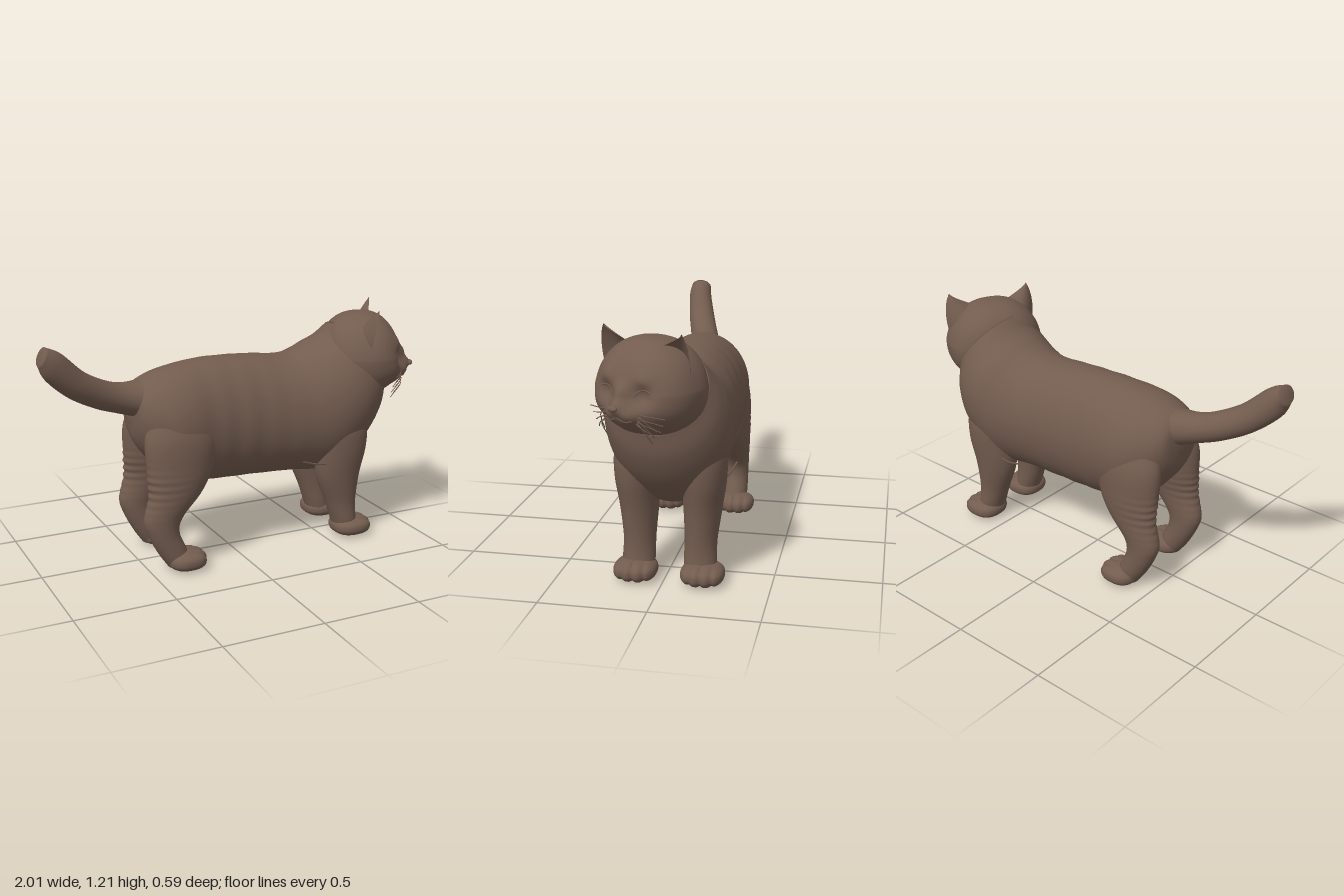
import * as THREE from 'three';

const fur = new THREE.MeshStandardMaterial({ color: 0x735c4f, side: THREE.DoubleSide });
fur.name = 'brown fur';

function add(parent, name, geometry) {
  const mesh = new THREE.Mesh(geometry, fur);
  mesh.name = name;
  parent.add(mesh);
  return mesh;
}

// Smooth closed loft through sections [x, y, z, halfHeight, halfWidth, tilt]
function loft(sections, rings, sides, ripple = () => 1) {
  const V = (a, b, c) => new THREE.Vector3(a, b, c);
  const path = new THREE.CatmullRomCurve3(sections.map(s => V(s[0], s[1], s[2])), false, 'catmullrom', 0.5);
  const size = new THREE.CatmullRomCurve3(sections.map(s => V(s[3], s[4], s[5])), false, 'catmullrom', 0.5);
  const pos = [], idx = [];
  for (let i = 0; i <= rings; i++) {
    const c = path.getPoint(i / rings), r = size.getPoint(i / rings);
    for (let j = 0; j < sides; j++) {
      const t = (j / sides) * Math.PI * 2, k = ripple(c, t);
      const up = Math.sin(t) * r.x * k, side = Math.cos(t) * r.y * k;
      pos.push(c.x - Math.sin(r.z) * up, c.y + Math.cos(r.z) * up, c.z + side);
      if (i < rings) {
        const a = i * sides + j, b = i * sides + (j + 1) % sides;
        idx.push(a, a + sides, b, b, a + sides, b + sides);
      }
    }
  }
  const first = pos.length / 3, p0 = path.getPoint(0), p1 = path.getPoint(1);
  pos.push(p0.x, p0.y, p0.z, p1.x, p1.y, p1.z);
  for (let j = 0; j < sides; j++) {
    const n = (j + 1) % sides, e = rings * sides;
    idx.push(first, j, n, first + 1, e + n, e + j);
  }
  const g = new THREE.BufferGeometry();
  g.setAttribute('position', new THREE.Float32BufferAttribute(pos, 3));
  g.setIndex(idx);
  g.computeVertexNormals();
  return g;
}

// Sphere whose vertices are placed by a rule on their direction
function shapedSphere(rule, w, h) {
  const g = new THREE.SphereGeometry(1, w, h), a = g.attributes.position;
  for (let i = 0; i < a.count; i++) {
    const v = rule(new THREE.Vector3().fromBufferAttribute(a, i).normalize());
    a.setXYZ(i, v.x, v.y, v.z);
  }
  g.computeVertexNormals();
  return g;
}

// Factor that squares off a sphere
const squared = (d, p) =>
  Math.pow(Math.abs(d.x) ** p + Math.abs(d.y) ** p + Math.abs(d.z) ** p, -1 / p);

function strand(parent, name, points, radius) {
  const curve = new THREE.CatmullRomCurve3(points.map(p => (p.isVector3 ? p : new THREE.Vector3(...p))));
  return add(parent, name, new THREE.TubeGeometry(curve, 14, radius, 5));
}

// Soft pushes on the face: forward, up, sideways, radius, amount
const bumps = [
  [0.19, -0.05, 0, 0.035, 0.045], [0.17, -0.155, 0, 0.045, 0.028],
  [0.19, 0.01, 0, 0.035, 0.022],
];
for (const s of [-1, 1]) bumps.push(
  [0.19, -0.095, s * 0.045, 0.047, 0.042], [0.18, -0.005, s * 0.095, 0.045, -0.028],
  [0.18, 0.065, s * 0.1, 0.04, 0.012], [0.15, -0.07, s * 0.16, 0.06, 0.014]);

// Rounded, broad-cheeked head surface along a direction
function headSurface(d) {
  const r = squared(d, 2.35);
  const v = new THREE.Vector3(d.x * r * 0.208, d.y * r * 0.215, d.z * r * 0.25);
  v.z *= 1 - 0.7 * Math.max(0, v.y);
  v.x -= Math.max(0, v.x) * Math.max(0, v.y) * 0.8;
  if (v.x > 0) {
    let push = 0;
    for (const [x, y, z, rad, amt] of bumps) {
      const q = (v.x - x) ** 2 * 0.3 + (v.y - y) ** 2 + (v.z - z) ** 2;
      push += amt * Math.exp(-q / (rad * rad));
    }
    v.x += push;
  }
  return v;
}

function makeHead() {
  const head = new THREE.Group();
  head.name = 'head';
  add(head, 'skull', shapedSphere(headSurface, 112, 88));
  const onFace = pts => pts.map(([y, z]) => headSurface(new THREE.Vector3(1, y, z).normalize()));

  const nose = add(head, 'nose', new THREE.SphereGeometry(1, 20, 14));
  nose.scale.set(0.014, 0.014, 0.024);
  nose.position.copy(onFace([[-0.27, 0]])[0]);
  strand(head, 'philtrum', onFace([[-0.33, 0], [-0.42, 0], [-0.5, 0]]), 0.003);

  for (const s of [-1, 1]) {
    strand(head, 'closedEye', onFace([[-0.04, s * 0.24], [0.07, s * 0.34], [0.1, s * 0.48], [0.05, s * 0.62]]), 0.004);
    strand(head, 'mouth', onFace([[-0.5, 0], [-0.57, s * 0.1], [-0.6, s * 0.2], [-0.57, s * 0.3]]), 0.004);

    // Cupped ear, open to the front
    const n = 12, pos = [], idx = [];
    for (let i = 0; i <= n; i++) for (let j = 0; j <= n; j++) {
      const v = i / n, u = (j / n) * 2 - 1;
      const w = 0.075 * (1 - v ** 1.5) + 0.018 * Math.sqrt(1 - v * v * 0.9);
      pos.push(0.035 + 0.03 * v - (1 - u * u) * 0.08 * (1 - v),
        0.11 + 0.13 * v - s * u * w * 0.55 * (1 - v) + 0.012 * (1 - u * u) * v,
        s * (0.138 + 0.075 * v) + u * w);
      if (i < n && j < n) {
        const k = i * (n + 1) + j;
        idx.push(k, k + n + 1, k + 1, k + 1, k + n + 1, k + n + 2);
      }
    }
    const ear = new THREE.BufferGeometry();
    ear.setAttribute('position', new THREE.Float32BufferAttribute(pos, 3));
    ear.setIndex(idx);
    ear.computeVertexNormals();
    add(head, 'ear', ear);

    // Drooping whiskers
    for (let k = 0; k < 7; k++) {
      const y = -0.08 - (k % 4) * 0.014, drop = k * 0.016;
      strand(head, 'whisker', [[0.19, y, s * 0.055],
        [0.205, y - drop * 0.3, s * 0.11], [0.17 - k * 0.003, y - 0.01 - drop, s * (0.205 - k * 0.013)]], 0.0022);
    }
  }
  head.position.set(0.75, 0.965, 0.025);
  head.rotation.y = -0.45;
  return head;
}

// Rounded paw with three grooves between the toes
function pawSurface(d) {
  const r = squared(d, 2.5);
  const v = new THREE.Vector3(d.x * r, d.y * r, d.z * r);
  let groove = 0;
  for (const z of [-0.5, 0, 0.5]) groove += Math.exp(-(((v.z - z) / 0.09) ** 2));
  const k = 1 - 0.13 * groove * Math.min(1, Math.max(0, v.x * 1.6));
  return new THREE.Vector3(v.x * 0.105 * k, v.y * 0.05 * k, v.z * 0.102);
}

export function createModel() {
  const cat = new THREE.Group();
  cat.name = 'cat';
  const up = Math.PI / 2;

  // Trunk from rump through chest up into the neck
  add(cat, 'body', loft([
    [-0.53, 0.79, 0, 0.04, 0.04, 0], [-0.51, 0.775, 0, 0.135, 0.135, 0],
    [-0.44, 0.745, 0, 0.21, 0.2, 0], [-0.32, 0.705, -0.005, 0.283, 0.247, 0],
    [-0.13, 0.697, -0.02, 0.312, 0.238, 0], [0.1, 0.69, -0.025, 0.315, 0.238, 0],
    [0.32, 0.678, -0.02, 0.312, 0.248, 0.05], [0.48, 0.685, -0.02, 0.335, 0.275, 0.24],
    [0.6, 0.76, -0.018, 0.309, 0.285, 0.434], [0.68, 0.855, -0.005, 0.262, 0.265, 0.61],
    [0.725, 0.95, 0.01, 0.222, 0.228, 0.64],
  ], 90, 56, (c, t) => {
    const mask = Math.max(0, 1 - Math.abs(c.x) / 0.4);
    return 1 + 0.012 * mask * Math.sin(c.x * 44) * Math.abs(Math.cos(t));
  }));

  add(cat, 'tail', loft([
    [-0.983, 1.128, 0.13, 0.045, 0.055, -0.45], [-0.93, 1.075, 0.125, 0.07, 0.063, -0.6],
    [-0.82, 0.975, 0.095, 0.07, 0.072, -0.62], [-0.7, 0.908, 0.06, 0.07, 0.076, -0.38],
    [-0.6, 0.872, 0.035, 0.073, 0.08, -0.15], [-0.5, 0.85, 0.01, 0.088, 0.105, 0],
    [-0.4, 0.835, -0.01, 0.11, 0.15, 0],
  ], 40, 32));

  const pawShape = shapedSphere(pawSurface, 64, 40);
  for (const s of [-1, 1]) {
    const f = -0.02 + s * 0.145, h = s * 0.175;
    add(cat, 'frontLeg', loft([
      [0.635, 0.025, f, 0.065, 0.07, up], [0.615, 0.1, f, 0.068, 0.077, up],
      [0.595, 0.2, f, 0.084, 0.076, up], [0.573, 0.35, f + s * 0.005, 0.122, 0.09, up],
      [0.58, 0.5, f + s * 0.01, 0.145, 0.105, up], [0.575, 0.63, f, 0.15, 0.112, up],
      [0.565, 0.78, f - s * 0.03, 0.1, 0.09, up],
    ], 36, 32));

    // Hind leg with creased fur down the back
    add(cat, 'hindLeg', loft([
      [-0.35, 0.025, h, 0.06, 0.06, up], [-0.385, 0.1, h, 0.075, 0.064, up],
      [-0.43, 0.2, h, 0.08, 0.062, up], [-0.43, 0.28, h, 0.1, 0.064, up],
      [-0.365, 0.4, h, 0.138, 0.076, up], [-0.335, 0.52, h - s * 0.01, 0.17, 0.092, up],
      [-0.32, 0.68, h - s * 0.025, 0.185, 0.1, up], [-0.31, 0.84, h - s * 0.065, 0.14, 0.08, up],
    ], 90, 32, (c, t) => {
      const mask = Math.exp(-(((c.y - 0.43) / 0.09) ** 2)) * Math.max(0, Math.sin(t) + 0.3);
      return 1 + 0.025 * mask * Math.sin(c.y * 160);
    }));

    add(cat, 'frontPaw', pawShape).position.set(0.655, 0.055, -0.025 + s * 0.158);
    const hindPaw = add(cat, 'hindPaw', pawShape);
    hindPaw.position.set(-0.317, 0.055, s * 0.187);
    hindPaw.scale.set(0.93, 1, 0.95);

    // Tuft of hair behind the elbow
    const z = -0.02 + s * 0.235;
    strand(cat, 'elbowTuft', [[0.46, 0.435, z - s * 0.02], [0.38, 0.455, z + s * 0.008], [0.3, 0.485, z + s * 0.03]], 0.005);
  }

  cat.add(makeHead());
  return cat;
}
